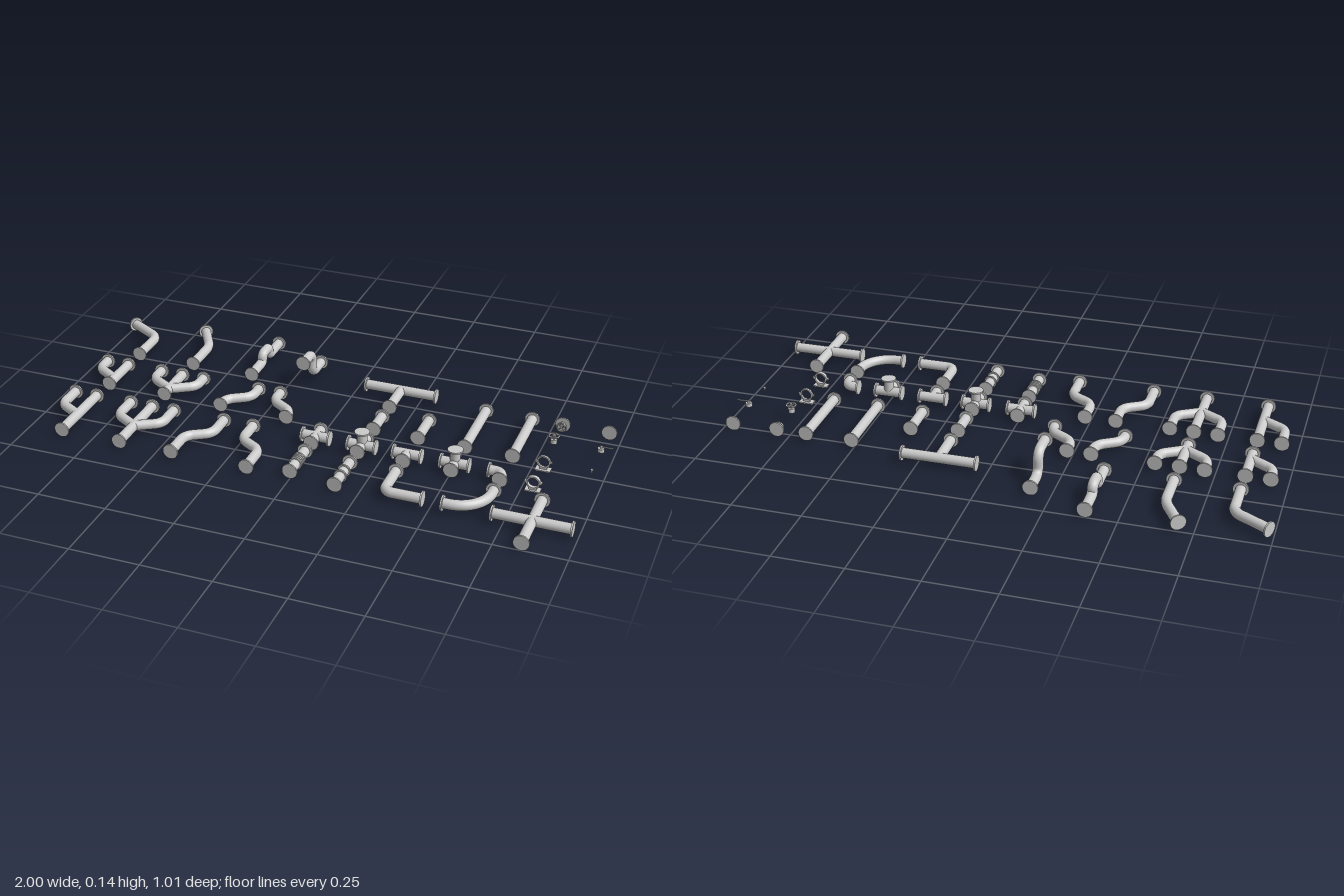
import * as THREE from 'three';

const Y = 0.03;        // pipe axis height
const R = 0.0185;      // pipe radius
const FR = 0.0275;     // flange radius
const FT = 0.006;      // flange thickness
const UP = new THREE.Vector3(0, 1, 0);
const mat = new THREE.MeshStandardMaterial({ color: 0xcccccc, roughness: 0.7 });
const V = (x, z, y = Y) => new THREE.Vector3(x, y, z);

export function createModel() {
  const root = new THREE.Group();
  root.name = 'pipeKit';

  const group = (name) => {
    const g = new THREE.Group();
    g.name = name;
    root.add(g);
    return g;
  };
  const add = (g, geo, name) => {
    const m = new THREE.Mesh(geo, mat);
    m.name = name;
    g.add(m);
    return m;
  };
  // cylinder between two points
  const rod = (g, a, b, r, name, r2 = r) => {
    const d = b.clone().sub(a);
    const m = add(g, new THREE.CylinderGeometry(r2, r, d.length(), 24), name);
    m.position.copy(a).add(b).multiplyScalar(0.5);
    m.quaternion.setFromUnitVectors(UP, d.normalize());
    return m;
  };
  // flange disc whose outer face lies on 'end'
  const flange = (g, end, from) => {
    const inner = end.clone().sub(from).normalize().multiplyScalar(-FT).add(end);
    rod(g, inner, end, FR, 'flange');
  };
  // pipe along a polyline with rounded corners, flanged at its ends
  const pipe = (g, pts, bend = 0.03, endFlange = true) => {
    const n = pts.length;
    if (n === 2) rod(g, pts[0], pts[1], R, 'pipe');
    else {
      const path = new THREE.CurvePath();
      let last = pts[0];
      for (let i = 1; i < n - 1; i++) {
        const toward = (q) => q.clone().sub(pts[i]).setLength(bend).add(pts[i]);
        const a = toward(pts[i - 1]), b = toward(pts[i + 1]);
        const k = (p) => p.clone().lerp(pts[i], 0.56);
        path.add(new THREE.LineCurve3(last, a));
        path.add(new THREE.CubicBezierCurve3(a, k(a), k(b), b));
        last = b;
      }
      path.add(new THREE.LineCurve3(last, pts[n - 1]));
      add(g, new THREE.TubeGeometry(path, 48, R, 20), 'bentPipe');
    }
    flange(g, pts[0], pts[1]);
    if (endFlange) flange(g, pts[n - 1], pts[n - 2]);
  };
  // fitting with straight arms from one centre
  const fitting = (name, x, z, len, dirs) => {
    const g = group(name), c = V(x, z);
    for (const [dx, dy, dz] of dirs) {
      pipe(g, [V(x + dx * len, z + dz * len, Y + dy * len), c]
        .reverse(), 0, true);
    }
    const hub = add(g, new THREE.SphereGeometry(R, 20, 12), 'hub');
    hub.position.copy(c);
    // the inner ends meet inside the hub, so only outer flanges stay
    return g;
  };
  const armFitting = (name, x, z, dirs, len = 0.053) => {
    const g = fittingCore(name, x, z);
    for (const [dx, dy, dz] of dirs) {
      const l = dy ? 0.055 : len;
      const end = V(x + dx * l, z + dz * l, Y + dy * l);
      rod(g, V(x, z), end, R, 'arm');
      flange(g, end, V(x, z));
    }
  };
  const fittingCore = (name, x, z) => {
    const g = group(name);
    add(g, new THREE.SphereGeometry(R, 20, 12), 'hub').position.copy(V(x, z));
    return g;
  };
  const L = [-1, 0, 0], RT = [1, 0, 0], F = [0, 0, 1], B = [0, 0, -1], U = [0, 1, 0];

  // angled bends
  pipe(group('sixtyDegreeBend'), [V(-0.856, -0.225), V(-0.856, -0.378), V(-0.986, -0.453)]);
  pipe(group('thirtyDegreeBend'), [V(-0.631, -0.225), V(-0.631, -0.378), V(-0.698, -0.494)]);

  // pipe stepping over an obstacle, and a riser to a higher level
  pipe(group('overpassPipe'), [V(-0.39, -0.225), V(-0.39, -0.333), V(-0.39, -0.333, 0.064),
    V(-0.39, -0.395, 0.064), V(-0.39, -0.395), V(-0.39, -0.503)], 0.016);
  pipe(group('riserPipe'), [V(-0.182, -0.225, 0.115), V(-0.182, -0.318, 0.115),
    V(-0.182, -0.318), V(-0.182, -0.417)], 0.032);

  // wyes and offsets, in a short row and a long row
  for (const [z0, z1, k0, k1, sx] of [[-0.139, 0.027, -0.07, -0.018, 0], [0.118, 0.39, 0.222, 0.272, -0.027]]) {
    const wye = (name, x, sides) => {
      const g = group(name);
      pipe(g, [V(x, z0), V(x, z1)]);
      for (const s of sides) pipe(g, [V(x + s * 0.086, z0), V(x + s * 0.086, k0), V(x, k1)], 0.025, false);
    };
    wye('singleWye', -0.856, [-1]);
    wye('doubleWye', -0.631, [-1, 1]);
    const offset = (name, a, b) => pipe(group(name), [V(a, z0), V(a, k0), V(b, k1), V(b, z1)], 0.028);
    offset('leftOffset', -0.321 + sx, -0.406 + sx);
    offset('rightOffset', -0.235, -0.15);
  }

  // straight lengths
  for (const [x, z0, z1] of [[0.171, -0.107, -0.003], [0.337, -0.139, 0], [0.508, -0.278, 0], [0.679, -0.278, 0]])
    pipe(group('straightPipe'), [V(x, z0), V(x, z1)]);

  // tees and crosses
  armFitting('largeTee', 0.173, -0.31, [L, RT, F], 0.137);
  armFitting('largeCross', 0.845, 0.367, [L, RT, F, B], 0.137);
  armFitting('smallCross', 0, 0.112, [L, RT, F, B]);
  armFitting('fiveWay', 0.171, 0.112, [L, RT, F, B, U]);
  armFitting('smallTee', 0.337, 0.112, [L, RT, F]);
  armFitting('cornerTee', 0.508, 0.112, [L, RT, F, U]);

  // elbows
  pipe(group('smallElbow'), [V(0.626, 0.112), V(0.679, 0.112), V(0.679, 0.165)], 0.03);
  pipe(group('tightElbow'), [V(0.337, 0.228), V(0.337, 0.367), V(0.476, 0.367)], 0.03);
  pipe(group('sweepElbow'), [V(0.679, 0.228), V(0.679, 0.367), V(0.54, 0.367)], 0.115);

  // ribbed coupling and two-ring coupling
  const coupling = (name, x, z0, z1, rings) => {
    const g = group(name);
    pipe(g, [V(x, z0), V(x, z1)]);
    for (const z of rings) rod(g, V(x, z - 0.003), V(x, z + 0.003), 0.0235, 'ring');
  };
  coupling('ribbedCoupling', 0, 0.214, 0.364, [0.272, 0.281, 0.29, 0.299, 0.308]);
  coupling('ringCoupling', 0.171, 0.23, 0.39, [0.292, 0.328]);

  // hand wheel in the local XZ plane on a stem
  const wheel = (g, r) => {
    const rim = add(g, new THREE.TorusGeometry(r, 0.003, 8, 28), 'wheelRim');
    rim.rotation.x = Math.PI / 2;
    for (let i = 0; i < 2; i++) {
      const a = Math.PI / 4 + i * Math.PI / 2, c = Math.cos(a) * r, s = Math.sin(a) * r;
      rod(g, V(-c, -s, 0), V(c, s, 0), 0.0022, 'spoke');
    }
    rod(g, V(0, 0, -0.003), V(0, 0, 0.004), 0.005, 'wheelHub');
  };

  // upright wheel valve
  const valve = group('wheelValve');
  rod(valve, V(0.79, -0.139, 0.03), V(0.79, -0.139, 0.046), 0.012, 'bonnet');
  rod(valve, V(0.79, -0.139, 0.046), V(0.79, -0.139, 0.06), 0.004, 'stem');
  const top = new THREE.Group();
  top.name = 'handWheel';
  top.position.set(0.79, 0.059, -0.139);
  wheel(top, 0.0175);
  valve.add(top);

  // end flange with wheel
  const capValve = group('flangeWheelValve');
  flange(capValve, V(0.79, -0.278), V(0.79, -0.2));
  rod(capValve, V(0.79, -0.273), V(0.79, -0.262), 0.012, 'bonnet', 0.006);
  rod(capValve, V(0.79, -0.264), V(0.79, -0.252), 0.004, 'stem');
  const side = new THREE.Group();
  side.name = 'handWheel';
  side.position.set(0.79, Y, -0.253);
  side.rotation.x = Math.PI / 2;
  wheel(side, 0.0165);
  capValve.add(side);

  // blank cap, lever valve and bolt
  flange(group('blankFlange'), V(0.957, -0.279), V(0.957, -0.2));
  const lever = group('leverValve');
  rod(lever, V(0.957, -0.139, 0.03), V(0.957, -0.139, 0.044), 0.012, 'bonnet');
  rod(lever, V(0.957, -0.139, 0.044), V(0.957, -0.139, 0.052), 0.005, 'stem');
  rod(lever, V(0.957, -0.139, 0.049), V(1, -0.139, 0.049), 0.0026, 'lever');
  const bolt = group('bolt');
  rod(bolt, V(0.957, 0, 0.026), V(0.957, 0, 0.036), 0.003, 'boltShank');
  rod(bolt, V(0.957, 0, 0.034), V(0.957, 0, 0.038), 0.005, 'boltHead');

  // pipe supports: foot plate, web and clamp ring
  for (const [z, depth] of [[0, 0.009], [0.139, 0.014]]) {
    const g = group('pipeSupport');
    add(g, new THREE.BoxGeometry(0.054, 0.005, 0.03), 'footPlate').position.set(0.79, 0.0025, z);
    add(g, new THREE.BoxGeometry(0.026, 0.01, depth), 'web').position.set(0.79, 0.0075, z);
    const ring = new THREE.Shape().absarc(0, 0, 0.024, 0, Math.PI * 2);
    ring.holes.push(new THREE.Path().absarc(0, 0, R, 0, Math.PI * 2, true));
    const geo = new THREE.ExtrudeGeometry(ring, { depth, bevelEnabled: false, curveSegments: 24 });
    add(g, geo, 'clampRing').position.set(0.79, 0.032, z - depth / 2);
    for (const s of [-1, 1])
      add(g, new THREE.BoxGeometry(0.008, 0.006, depth), 'clampLug').position.set(0.79 + s * 0.0265, 0.032, z);
  }
  return root;
}
